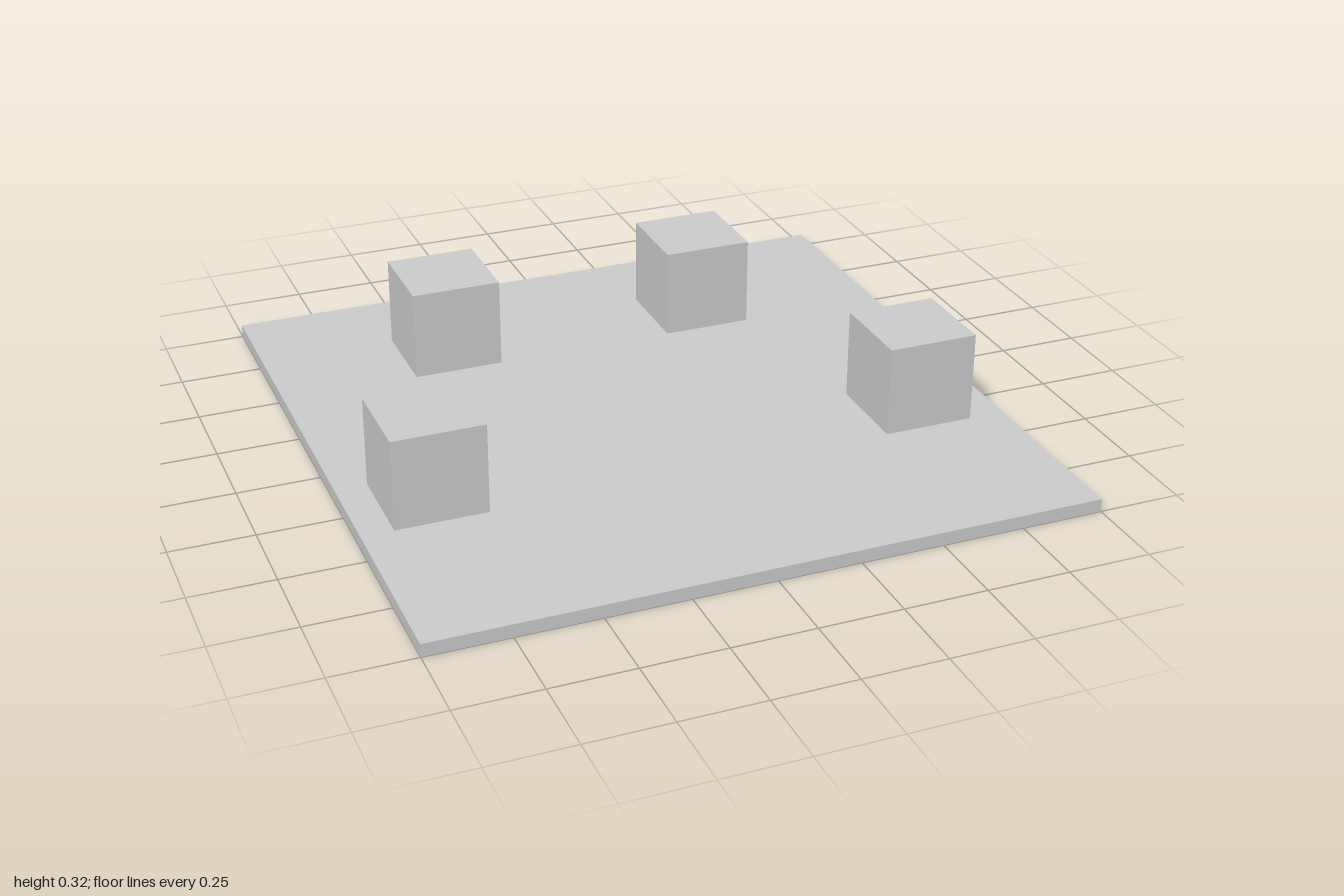
import * as THREE from 'three';

export function createModel() {
  const model = new THREE.Group();
  const material = new THREE.MeshStandardMaterial({ color: 0xcccccc, flatShading: true });
  const baseHeight = 0.04;
  const cubeSize = 0.277;

  // Thin square floor plate
  const base = new THREE.Mesh(new THREE.BoxGeometry(2, baseHeight, 2), material);
  base.name = 'base';
  base.position.y = baseHeight / 2;
  model.add(base);

  // Four equal cubes standing on the plate: [name, x, z]
  const cubes = [
    ['frontRightCube', -0.765, 0.295],
    ['frontLeftCube', 0.75, 0.295],
    ['backRightCube', -0.44, -0.575],
    ['backLeftCube', 0.4, -0.575],
  ];
  const cubeGeometry = new THREE.BoxGeometry(cubeSize, cubeSize, cubeSize);
  for (const [name, x, z] of cubes) {
    const cube = new THREE.Mesh(cubeGeometry, material);
    cube.name = name;
    cube.position.set(x, baseHeight + cubeSize / 2, z);
    model.add(cube);
  }

  return model;
}
